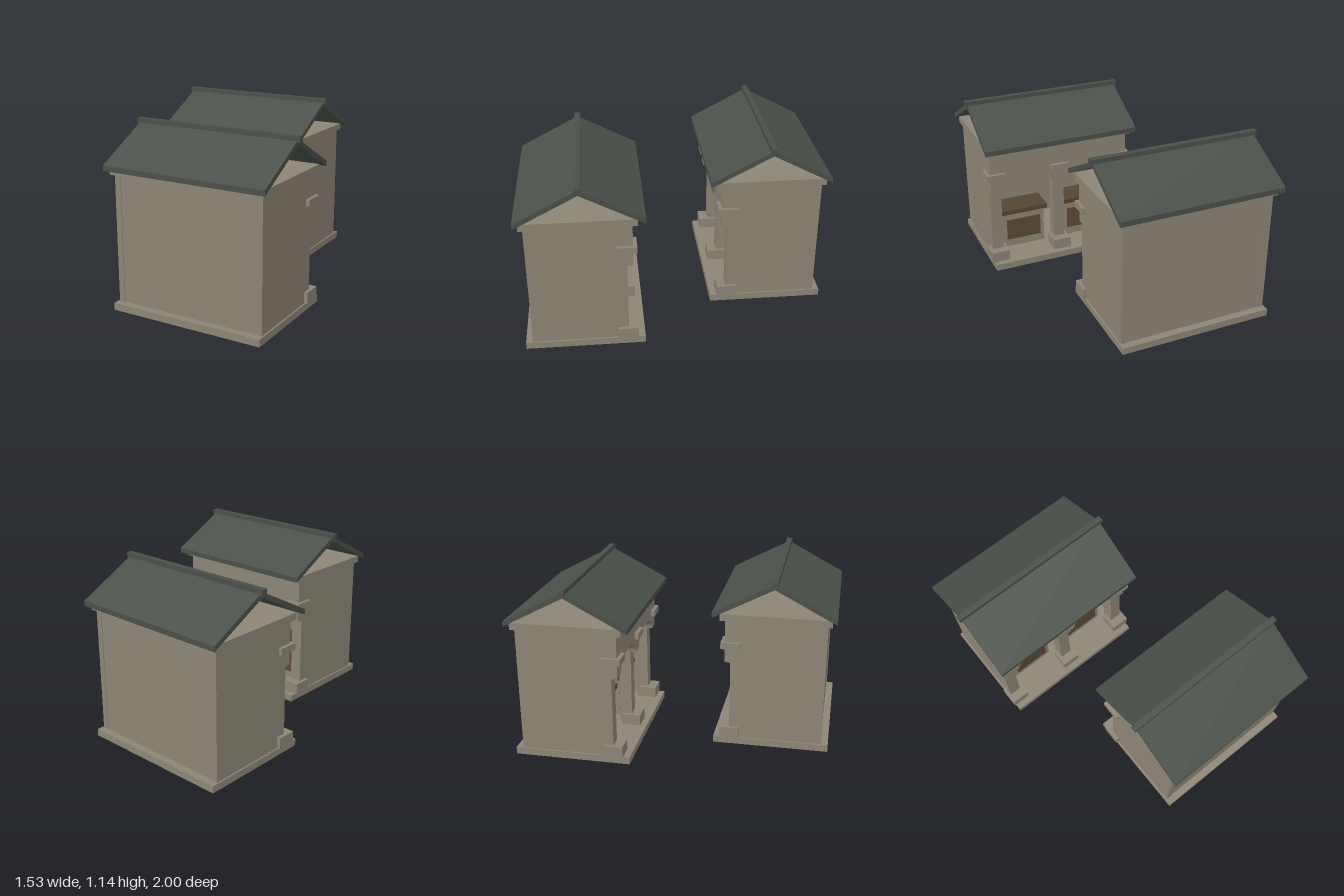
import * as THREE from 'three';

const mat = (name, color) => Object.assign(new THREE.MeshStandardMaterial({ color }), { name });

// Box from min/max extents
function box(name, m, x0, x1, y0, y1, z0, z1) {
  const mesh = new THREE.Mesh(new THREE.BoxGeometry(x1 - x0, y1 - y0, z1 - z0), m);
  mesh.position.set((x0 + x1) / 2, (y0 + y1) / 2, (z0 + z1) / 2);
  mesh.name = name;
  return mesh;
}

// One stall, open arches towards +z
function createStall(M) {
  const stall = new THREE.Group();
  const add = (...a) => stall.add(box(...a));

  // Plinth, cornice slab and walls
  add('plinth', M.stone, -0.513, 0.513, 0, 0.046, -0.378, 0.376);
  add('cornice', M.stone, -0.52, 0.52, 0.86, 0.905, -0.36, 0.342);
  add('backWall', M.stone, -0.463, 0.463, 0.046, 0.86, -0.33, -0.29);
  for (const s of [-1, 1]) {
    const a = s * 0.463, b = s * 0.503;
    add('sideWall', M.stone, Math.min(a, b), Math.max(a, b), 0.046, 0.86, -0.334, 0.27);
  }

  // Posts with base blocks and capitals
  for (const x of [-0.463, 0, 0.463]) {
    add('post', M.stone, x - 0.04, x + 0.04, 0.046, 0.86, 0.19, 0.272);
    add('postBase', M.stone, x - 0.063, x + 0.063, 0.046, 0.12, 0.205, 0.333);
    add('capital', M.stone, x - 0.063, x + 0.063, 0.672, 0.715, 0.205, 0.335);
  }

  // Twin arched panel
  const arch = new THREE.Shape();
  arch.moveTo(-0.503, 0.86);
  arch.lineTo(-0.503, 0.575);
  for (const cx of [-0.2315, 0.2315]) {
    arch.lineTo(cx - 0.1915, 0.575);
    arch.absellipse(cx, 0.575, 0.1915, 0.105, Math.PI, 0, true, 0);
  }
  arch.lineTo(0.503, 0.575);
  arch.lineTo(0.503, 0.86);
  const archGeo = new THREE.ExtrudeGeometry(arch, { depth: 0.085, bevelEnabled: false, curveSegments: 14 });
  archGeo.translate(0, 0, 0.225);
  const archMesh = new THREE.Mesh(archGeo, M.stone);
  archMesh.name = 'archedPanel';
  stall.add(archMesh);

  // A counter in each bay
  for (const x of [-0.2325, 0.2325]) {
    add('counter', M.stone, x - 0.155, x + 0.155, 0.046, 0.315, 0.0, 0.155);
    add('counterPanel', M.panel, x - 0.126, x + 0.126, 0.106, 0.26, 0.155, 0.164);
    add('counterTop', M.wood, x - 0.177, x + 0.177, 0.315, 0.346, -0.02, 0.18);
  }

  // Gabled roof with open ends, and its ridge cap
  const roof = new THREE.Shape([
    [-0.39, 0.886], [-0.39, 0.92], [0, 1.125], [0.39, 0.92], [0.39, 0.886], [0, 1.091],
  ].map(([x, y]) => new THREE.Vector2(x, y)));
  const roofGeo = new THREE.ExtrudeGeometry(roof, { depth: 1.09, bevelEnabled: false });
  roofGeo.translate(0, 0, -0.545).rotateY(Math.PI / 2);
  const roofMesh = new THREE.Mesh(roofGeo, M.roof);
  roofMesh.name = 'roof';
  stall.add(roofMesh);
  add('ridgeCap', M.roof, -0.562, 0.562, 1.11, 1.144, -0.019, 0.019);
  return stall;
}

export function createModel() {
  const M = {
    stone: mat('stone', 0x8d8575),
    roof: mat('slate', 0x4a5049),
    wood: mat('counter wood', 0x564633),
    panel: mat('panel wood', 0x5a4937),
  };
  const model = new THREE.Group();
  model.name = 'facingStalls';
  // Two stalls facing each other, offset sideways
  for (const s of [-1, 1]) {
    const stall = createStall(M);
    stall.name = s < 0 ? 'backStall' : 'frontStall';
    stall.position.set(s * 0.202, 0, s * 0.61);
    stall.rotation.y = s < 0 ? 0 : Math.PI;
    model.add(stall);
  }
  return model;
}
